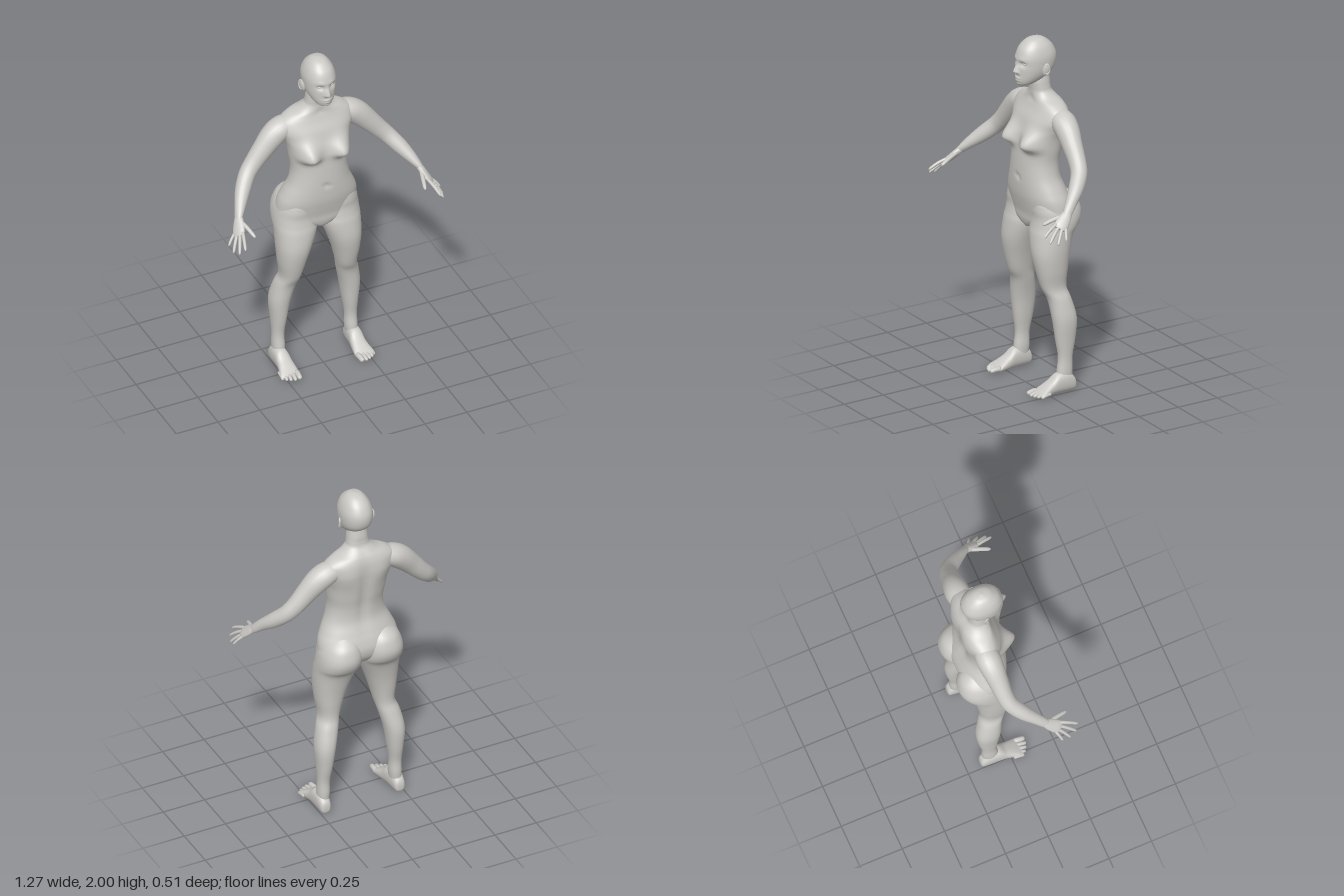
import * as THREE from 'three';

const V = (x, y, z) => new THREE.Vector3(x, y, z);
const bell = (d, s) => Math.exp(-((d / s) ** 2));

// Smoothly interpolated copies of the key sections
function refine(rows, steps) {
  const out = [];
  const at = i => rows[Math.max(0, Math.min(rows.length - 1, i))];
  for (let i = 0; i < rows.length - 1; i++) {
    const a = at(i - 1), b = at(i), c = at(i + 1), d = at(i + 2);
    for (let s = 0; s < steps; s++) {
      const t = s / steps;
      out.push(b.map((v, k) => {
        const cubic = 3 * (v - c[k]) + d[k] - a[k];
        const square = 2 * a[k] - 5 * v + 4 * c[k] - d[k];
        return v + 0.5 * t * (c[k] - a[k] + t * (square + t * cubic));
      }));
    }
  }
  out.push(rows[rows.length - 1]);
  return out;
}

// Closed skin over rings of points, wound outwards
function skin(rings) {
  const n = rings[0].length, pts = rings.flat(), idx = [];
  for (let i = 0; i < rings.length - 1; i++) {
    for (let j = 0; j < n; j++) {
      const a = i * n + j, b = i * n + (j + 1) % n;
      idx.push(a, b, a + n, b, b + n, a + n);
    }
  }
  for (const end of [0, rings.length - 1]) {
    const c = rings[end].reduce((s, p) => s.add(p), V(0, 0, 0)).divideScalar(n);
    pts.push(c);
    for (let j = 0; j < n; j++) {
      const a = end * n + j, b = end * n + (j + 1) % n;
      idx.push(...(end ? [a, b] : [b, a]), pts.length - 1);
    }
  }
  let volume = 0;
  for (let i = 0; i < idx.length; i += 3) {
    volume += pts[idx[i]].dot(V(0, 0, 0).crossVectors(pts[idx[i + 1]], pts[idx[i + 2]]));
  }
  if (volume < 0) idx.reverse();
  const g = new THREE.BufferGeometry().setFromPoints(pts);
  g.setIndex(idx);
  g.computeVertexNormals();
  return g;
}

const around = (n, f) => Array.from({ length: n }, (_, j) => {
  const a = j / n * Math.PI * 2;
  return f(Math.cos(a), Math.sin(a));
});
const soft = (v, e) => Math.sign(v) * Math.abs(v) ** (2 / e);

// Sections [level, x0, x1, a0, a1], stacked along y (a = z) or along z (a = y)
function stack(rows, { side = 1, n = 32, steps = 5, e = 2.2, alongZ = false, shape = p => p } = {}) {
  return skin(refine(rows, steps).map(([l, x0, x1, a0, a1]) => around(n, (c, s) => {
    const x = side * ((x0 + x1) / 2 + (x1 - x0) / 2 * soft(c, e));
    const a = (a0 + a1) / 2 + (a1 - a0) / 2 * soft(s, e);
    return shape(alongZ ? V(x, a, l) : V(x, l, a));
  })));
}

// Sections [x, y, z, width, thickness] along a path, width lying towards ref
function limb(rows, side, ref, n = 20, steps = 4) {
  const r = refine(rows, steps);
  const centre = i => V(...r[Math.max(0, Math.min(r.length - 1, i))].slice(0, 3));
  return skin(r.map((q, i) => {
    const t = centre(i + 1).sub(centre(i - 1)).normalize();
    const b = ref.clone().addScaledVector(t, -ref.dot(t)).normalize();
    const m = V(0, 0, 0).crossVectors(t, b);
    return around(n, (c, s) => {
      const v = centre(i).addScaledVector(b, c * q[3]).addScaledVector(m, s * q[4]);
      v.x *= side;
      return v;
    });
  }));
}

// Finger or toe from a to b with a slight arch and a round tip
function digit(a, b, r, side, arch) {
  const rows = [[0, 1], [0.3, 1], [0.6, 0.95], [0.85, 0.85], [0.96, 0.55], [1, 0.08]].map(([t, k]) => [
    a[0] + (b[0] - a[0]) * t, a[1] + (b[1] - a[1]) * t + arch * Math.sin(Math.PI * t),
    a[2] + (b[2] - a[2]) * t, r * k, r * k]);
  return limb(rows, side, V(0.8, 0, -0.4), 10, 3);
}

// Bust, navel, collar hollow, spine groove and shoulder blades
function shapeTorso(p) {
  const { x, y, z } = p, ax = Math.abs(x);
  if (z > -0.07) {
    const k = Math.min(1, (z + 0.07) / 0.05);
    p.z += k * 0.066 * bell(ax - 0.1, 0.056) * bell(y - 1.412, y < 1.412 ? 0.032 : 0.075);
    p.z -= k * 0.012 * bell(x, 0.012) * bell(y - 1.21, 0.014);
    p.z -= k * 0.008 * bell(x, 0.03) * bell(y - 1.655, 0.02);
  } else {
    const k = Math.min(1, (-0.07 - z) / 0.05);
    p.z += k * 0.016 * bell(x, 0.03) * bell(y - 1.4, 0.22);
    p.z -= k * 0.008 * bell(ax - 0.1, 0.05) * bell(y - 1.53, 0.07);
  }
  return p;
}

// Nose, lips, brow, chin and eye sockets
function shapeFace(p) {
  const { x, y, z } = p, ax = Math.abs(x);
  if (z < -0.03) return p;
  p.z += 0.026 * bell(x, 0.012) * bell(y - 1.822, y > 1.822 ? 0.033 : 0.012)
    + 0.008 * bell(ax - 0.013, 0.008) * bell(y - 1.817, 0.01)
    + 0.008 * bell(x, 0.024) * (bell(y - 1.784, 0.007) + bell(y - 1.769, 0.007))
    + 0.004 * bell(ax - 0.03, 0.025) * bell(y - 1.89, 0.012)
    + 0.006 * bell(x, 0.02) * bell(y - 1.748, 0.012)
    - 0.014 * bell(ax - 0.034, 0.018) * bell(y - 1.866, 0.015);
  return p;
}

export function createModel() {
  const group = new THREE.Group();
  const grey = new THREE.MeshStandardMaterial({ color: 0xcccac6 });
  grey.name = 'warm grey';
  const add = (name, geometry) => {
    const m = new THREE.Mesh(geometry, grey);
    m.name = name;
    group.add(m);
    return m;
  };
  const even = rows => rows.map(([y, w, f, b]) => [y, -w, w, b, f]);

  add('torsoAndNeck', stack(even([
    [1.8, 0.05, -0.04, -0.135], [1.75, 0.058, -0.032, -0.143], [1.72, 0.062, -0.034, -0.145],
    [1.69, 0.07, -0.036, -0.152], [1.66, 0.105, -0.032, -0.175], [1.635, 0.165, -0.03, -0.19],
    [1.6, 0.21, -0.018, -0.2], [1.55, 0.215, 0.005, -0.203], [1.5, 0.195, 0.02, -0.2],
    [1.45, 0.178, 0.035, -0.195], [1.38, 0.168, 0.045, -0.185], [1.3, 0.16, 0.05, -0.172],
    [1.22, 0.173, 0.052, -0.172], [1.15, 0.203, 0.05, -0.195], [1.1, 0.224, 0.045, -0.213],
    [1.05, 0.233, 0.035, -0.222], [1, 0.232, 0.024, -0.212], [0.96, 0.19, 0.02, -0.185],
    [0.93, 0.1, 0.012, -0.15], [0.91, 0.03, 0, -0.11]]), { n: 56, steps: 6, shape: shapeTorso }));

  add('head', stack(even([
    [2, 0.004, -0.06, -0.068], [1.992, 0.034, -0.022, -0.104], [1.975, 0.055, 0.005, -0.132],
    [1.945, 0.074, 0.033, -0.16], [1.9, 0.087, 0.05, -0.18], [1.85, 0.087, 0.053, -0.178],
    [1.81, 0.08, 0.054, -0.158], [1.775, 0.065, 0.053, -0.11], [1.75, 0.046, 0.048, -0.06],
    [1.738, 0.026, 0.036, -0.03], [1.735, 0.005, 0.012, 0]]), { n: 72, steps: 7, shape: shapeFace }));

  for (const side of [1, -1]) {
    const tag = side > 0 ? 'left' : 'right';

    // Eye and ear
    const eye = add(tag + 'Eye', new THREE.SphereGeometry(0.012, 14, 10));
    eye.scale.set(1.15, 0.65, 0.8);
    eye.position.set(side * 0.034, 1.866, 0.027);
    const ear = add(tag + 'Ear', new THREE.SphereGeometry(1, 14, 12));
    ear.scale.set(0.009, 0.036, 0.02);
    ear.position.set(side * 0.093, 1.832, -0.072);
    ear.rotation.set(-0.2, side * -0.4, side * -0.18);
    const rim = add(tag + 'EarRim', new THREE.TorusGeometry(0.02, 0.005, 8, 18, 4.6).rotateZ(-2.3));
    rim.scale.set(0.8, 1.4, 1);
    rim.position.set(side * 0.098, 1.836, -0.075);
    rim.rotation.y = Math.PI / 2 - side * 0.35;

    // Arm
    add(tag + 'Arm', limb([
      [0.1, 1.575, -0.12, 0.045, 0.045], [0.19, 1.56, -0.115, 0.068, 0.063],
      [0.25, 1.522, -0.11, 0.066, 0.068], [0.31, 1.46, -0.102, 0.056, 0.06],
      [0.37, 1.392, -0.094, 0.049, 0.052], [0.42, 1.338, -0.076, 0.046, 0.047],
      [0.47, 1.28, -0.026, 0.042, 0.043], [0.51, 1.23, 0.028, 0.033, 0.032],
      [0.54, 1.187, 0.07, 0.027, 0.02], [0.55, 1.17, 0.088, 0.02, 0.014]], side, V(0, 0, -1)));

    // Hand
    add(tag + 'Palm', limb([
      [0.533, 1.197, 0.058, 0.018, 0.014], [0.543, 1.18, 0.077, 0.026, 0.019],
      [0.555, 1.157, 0.103, 0.035, 0.018], [0.57, 1.13, 0.135, 0.038, 0.015],
      [0.577, 1.118, 0.15, 0.03, 0.009]], side, V(0.6, -0.45, -0.66), 18));
    const fingers = [
      ['Thumb', [0.54, 1.172, 0.095], [0.508, 1.13, 0.214], 0.012, 0.004],
      ['IndexFinger', [0.555, 1.142, 0.152], [0.584, 1.088, 0.25], 0.0095, 0.006],
      ['MiddleFinger', [0.567, 1.13, 0.143], [0.61, 1.058, 0.23], 0.0095, 0.006],
      ['RingFinger', [0.58, 1.12, 0.132], [0.627, 1.046, 0.188], 0.009, 0.006],
      ['LittleFinger', [0.588, 1.117, 0.115], [0.633, 1.064, 0.14], 0.008, 0.005]];
    for (const [name, a, b, r, arch] of fingers) add(tag + name, digit(a, b, r, side, arch));

    // Leg with buttock
    add(tag + 'Leg', stack([
      [1.15, 0.07, 0.14, -0.16, -0.06], [1.1, 0.028, 0.205, -0.226, 0.01], [1.05, 0.008, 0.232, -0.25, 0.022],
      [1, 0.004, 0.243, -0.255, 0.02], [0.95, 0.004, 0.247, -0.237, 0.027], [0.9, 0.014, 0.247, -0.2, 0.037],
      [0.8, 0.052, 0.245, -0.172, 0.043], [0.7, 0.085, 0.236, -0.155, 0.027], [0.6, 0.11, 0.224, -0.145, 0],
      [0.53, 0.126, 0.246, -0.163, -0.03], [0.42, 0.152, 0.265, -0.186, -0.045], [0.3, 0.17, 0.257, -0.176, -0.06],
      [0.2, 0.184, 0.25, -0.157, -0.074], [0.12, 0.183, 0.252, -0.157, -0.066], [0.05, 0.19, 0.25, -0.15, -0.06],
    ], { side, n: 36 }));

    // Foot and toes
    add(tag + 'Foot', stack([
      [-0.172, 0.21, 0.238, 0.022, 0.05], [-0.162, 0.195, 0.253, 0.004, 0.08], [-0.12, 0.186, 0.26, 0, 0.115],
      [-0.06, 0.18, 0.262, 0, 0.112], [-0.02, 0.175, 0.264, 0, 0.08], [0.02, 0.17, 0.272, 0, 0.055],
      [0.05, 0.168, 0.28, 0.002, 0.036], [0.068, 0.175, 0.274, 0.008, 0.024],
    ], { side, alongZ: true, e: 2.4, n: 24 }));
    const toes = [[0.185, 0.108, 0.0155], [0.211, 0.106, 0.0115], [0.233, 0.098, 0.011],
      [0.253, 0.086, 0.0105], [0.271, 0.07, 0.01]];
    toes.forEach(([x, z, r], i) => add(tag + 'Toe' + (i + 1),
      digit([x - 0.002, 0.022, z - 0.06], [x + 0.002, r, z], r, side, 0.003)));
  }
  return group;
}
